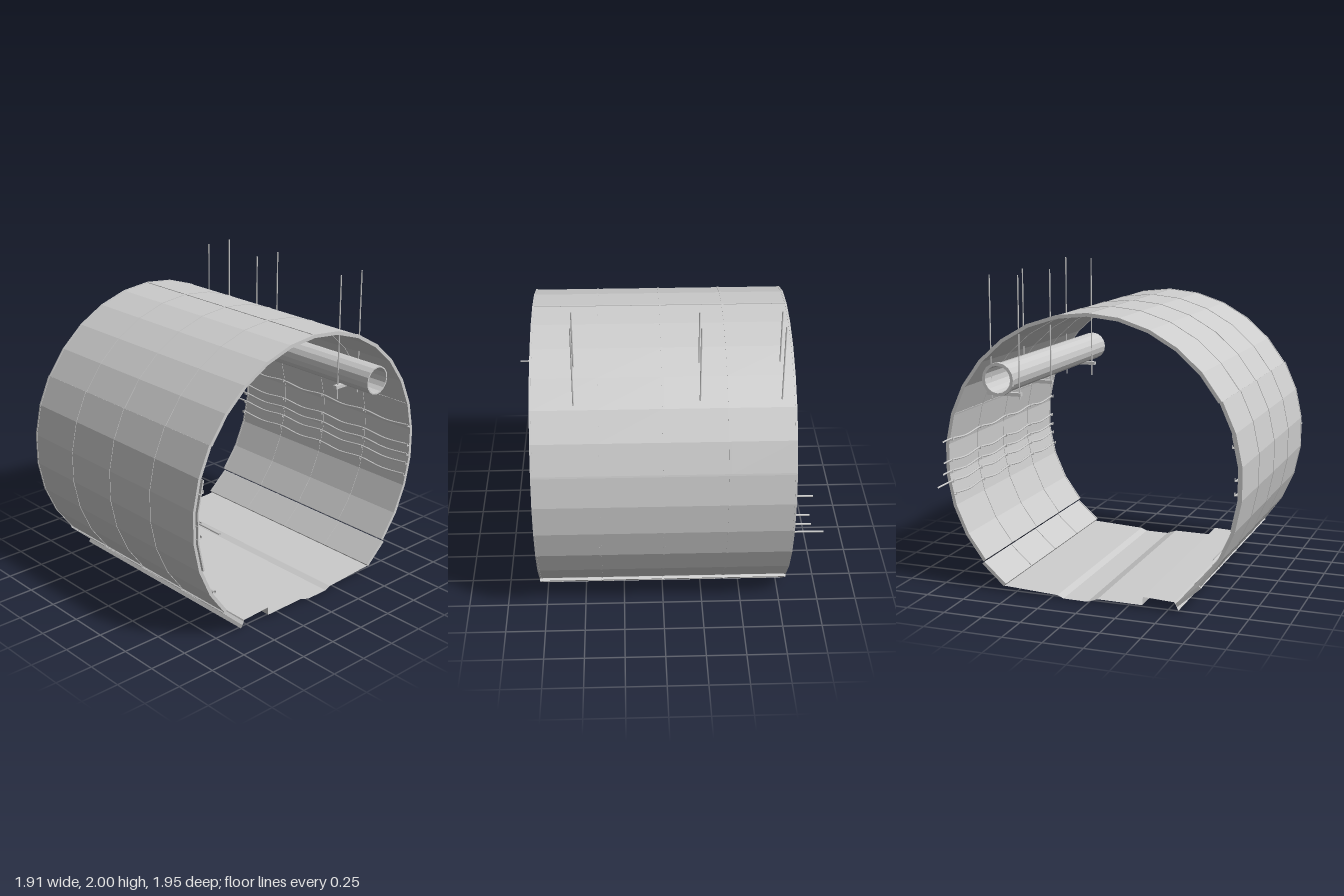
import * as THREE from 'three';

const grey = new THREE.MeshStandardMaterial({ color: 0xcccccc, side: THREE.DoubleSide });
grey.name = 'lightGrey';

const CY = 0.825, R = 0.953, T = 0.016, HALF = 0.785;
const JOINTS = [-HALF, -0.39, 0, 0.39, HALF];

// Point on the lining, angle in degrees clockwise from the crown
function ringPoint(deg, r) {
  const a = THREE.MathUtils.degToRad(deg);
  return new THREE.Vector2(Math.sin(a) * r, CY + Math.cos(a) * r);
}

// Faceted arc slab between two angles, extruded from z0 to z1
function arcSlab(a0, a1, rOut, rIn, z0, z1) {
  const n = Math.max(1, Math.round((a1 - a0) / 12));
  const outer = [], inner = [];
  for (let i = 0; i <= n; i++) {
    const a = a0 + ((a1 - a0) * i) / n;
    outer.push(ringPoint(a, rOut));
    inner.unshift(ringPoint(a, rIn));
  }
  const g = new THREE.ExtrudeGeometry(new THREE.Shape([...outer, ...inner]), { depth: z1 - z0, bevelEnabled: false });
  return g.translate(0, 0, z0);
}

function add(parent, name, geometry, x = 0, y = 0, z = 0) {
  const mesh = new THREE.Mesh(geometry, grey);
  mesh.name = name;
  mesh.position.set(x, y, z);
  parent.add(mesh);
}

function group(parent, name) {
  const g = new THREE.Group();
  g.name = name;
  parent.add(g);
  return g;
}

// Sagging cable carried on a hook at every joint, with straight tails
function cable(parent, x, y, zBack, zFront) {
  const pts = [];
  if (zBack < -HALF) pts.push(new THREE.Vector3(x, y, zBack));
  JOINTS.forEach((z, i) => {
    pts.push(new THREE.Vector3(x, y, z));
    if (i < 4) pts.push(new THREE.Vector3(x, y - 0.016, (z + JOINTS[i + 1]) / 2));
  });
  if (zFront > HALF) pts.push(new THREE.Vector3(x, y, zFront));
  const path = new THREE.CatmullRomCurve3(pts);
  add(parent, 'cable', new THREE.TubeGeometry(path, 40, 0.006, 8), grey.position);
}

// Small J-shaped hooks on the wall; side is +1 or -1
function hooks(parent, side, x, y, dz) {
  for (const z of JOINTS) {
    add(parent, 'hookArm', new THREE.BoxGeometry(0.036, 0.004, 0.014), x + side * 0.006, y - 0.008, z + dz);
    add(parent, 'hookLip', new THREE.BoxGeometry(0.004, 0.018, 0.014), x - side * 0.011, y, z + dz);
  }
}

export function createModel() {
  const model = new THREE.Group();
  model.name = 'tunnelSection';

  // Lining segments and ring joints: [start angle, end angle, radial offset]
  const lining = group(model, 'lining');
  const arcs = [[-144, -132.2, 0.014], [-132, -60, 0.006], [-60, 0, 0], [0, 72, 0], [72, 132, 0], [132.3, 144, 0.017]];
  for (const [a0, a1, off] of arcs) {
    const r = R + off;
    for (let i = 0; i < 4; i++) {
      add(lining, 'liningSegment', arcSlab(a0, a1, r, r - T, JOINTS[i], JOINTS[i + 1]));
    }
    for (const z of JOINTS) {
      add(lining, 'ringJoint', arcSlab(a0, a1, r + 0.003, r - T - 0.003, z - 0.006, z + 0.006));
    }
  }

  // Lengthwise joints
  for (const a of [0, 72]) {
    add(lining, 'lengthwiseJoint', arcSlab(a - 0.35, a + 0.35, R + 0.003, R - T - 0.003, -HALF, HALF));
  }

  // Folded floor sheet with a raised kerb and a shallow drain
  const profile = [[-0.575, 0.015], [-0.55, 0.065], [-0.35, 0.075], [-0.345, 0.022], [-0.055, 0.025],
    [0.01, 0.001], [0.17, 0.003], [0.21, 0.02], [0.575, 0.04]];
  let floor = new THREE.PlaneGeometry(1, 1, profile.length - 1, 1);
  const pos = floor.attributes.position;
  for (let i = 0; i < pos.count; i++) {
    const [x, y] = profile[i % profile.length];
    pos.setXYZ(i, x, y, i < profile.length ? -HALF : HALF);
  }
  floor = floor.toNonIndexed();
  floor.computeVertexNormals();
  add(model, 'floor', floor);

  // Ventilation duct with a collar at the back end
  const duct = group(model, 'duct');
  duct.position.set(0.585, 1.352, 0);
  function pipe(name, rOut, rIn, length, z) {
    const s = new THREE.Shape().absarc(0, 0, rOut, 0, Math.PI * 2, false);
    s.holes.push(new THREE.Path().absarc(0, 0, rIn, 0, Math.PI * 2, true));
    add(duct, name, new THREE.ExtrudeGeometry(s, { depth: length, bevelEnabled: false, curveSegments: 8 }), 0, 0, z);
  }
  pipe('ductPipe', 0.094, 0.085, 2 * HALF, -HALF);
  pipe('ductCollar', 0.104, 0.085, 0.03, -HALF - 0.01);

  // Duct hangers: two rods and a cross bar each
  for (const [z, dx, top] of [[0.53, 0.013, 2], [-0.22, 0, 1.98], [-0.705, -0.001, 1.98]]) {
    const hanger = group(model, 'ductHanger');
    const bottom = z > 0 ? 1.18 : 1.22;
    for (const x of [0.481, 0.671]) {
      add(hanger, 'hangerRod', new THREE.CylinderGeometry(0.0045, 0.0045, top - bottom, 8), x + dx, (top + bottom) / 2, z);
    }
    add(hanger, 'hangerBar', new THREE.BoxGeometry(0.225, 0.022, 0.03), 0.581, 1.252 + dx, z);
  }

  // Cables and hooks on the right-hand side wall
  const plusCables = group(model, 'plusSideCables');
  for (const [x, y, zBack] of [[0.915, 0.96, -0.89], [0.92, 0.822, -0.875], [0.92, 0.753, -0.89], [0.915, 0.69, -0.97], [0.9, 0.612, -HALF]]) {
    hooks(plusCables, 1, x, y, 0);
    cable(plusCables, x, y, zBack, HALF);
  }

  // Cables, hooks and curved mounting strips on the opposite wall
  const minusCables = group(model, 'minusSideCables');
  for (const [x, y, zFront] of [[-0.9, 1.04, HALF], [-0.918, 0.846, 0.975], [-0.918, 0.76, HALF]]) {
    hooks(minusCables, -1, x, y, 0.014);
    cable(minusCables, x, y, -HALF, zFront);
  }
  for (const z of JOINTS) {
    add(minusCables, 'mountingStrip', arcSlab(-108, -72, R - T + 0.006, R - T - 0.004, z, z + 0.024));
  }

  // Low service pipe along the wall
  const service = new THREE.CylinderGeometry(0.012, 0.012, 2 * HALF + 0.01, 10, 1, true).rotateX(Math.PI / 2);
  add(model, 'servicePipe', service, -0.796, 0.352, 0);

  return model;
}
